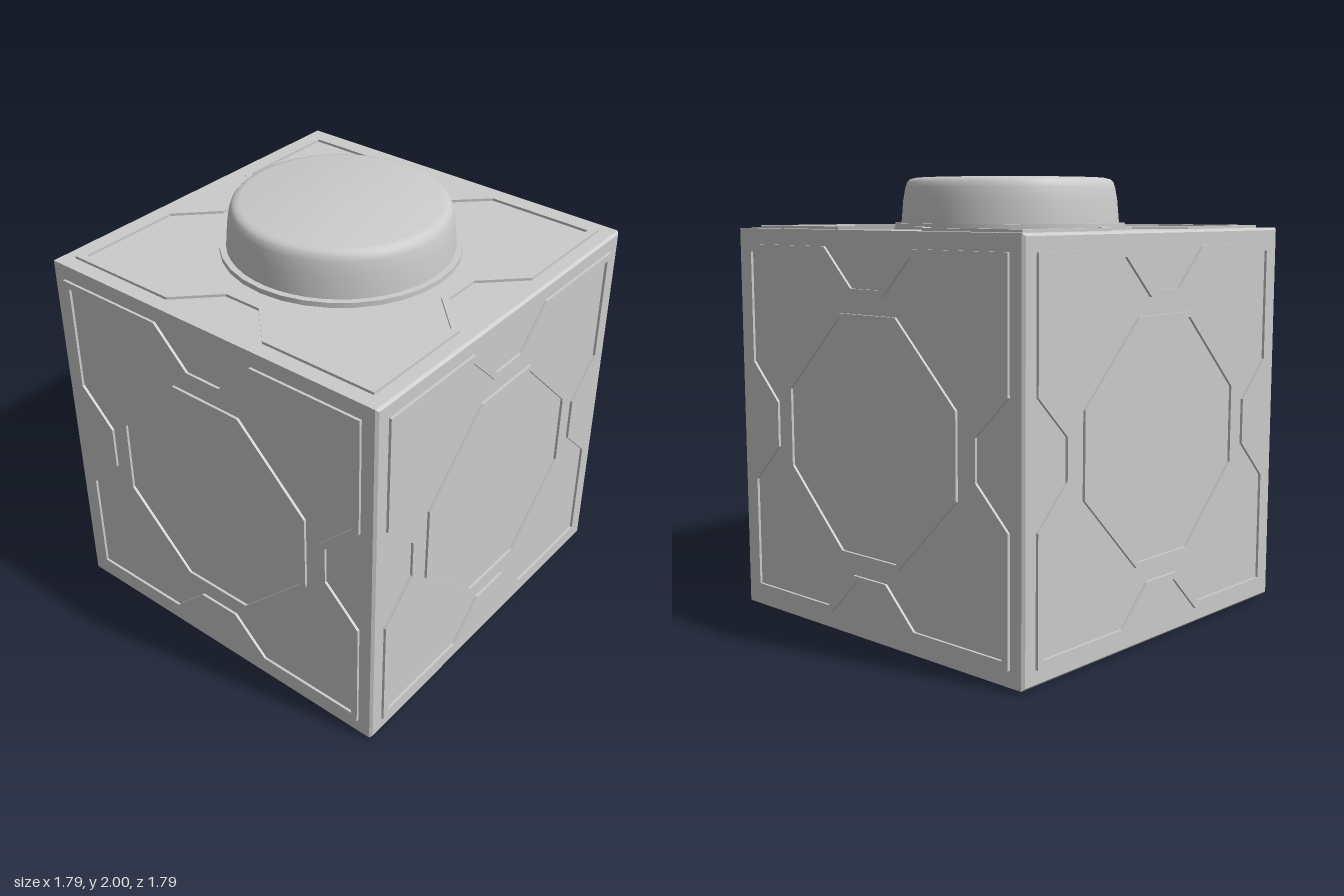
import * as THREE from 'three';
import { toCreasedNormals } from 'three/addons/utils/BufferGeometryUtils.js';

const HALF = 0.881;   // half size of the body
const CENTER = 0.893; // body centre height, also distance to the raised trim
const material = new THREE.MeshStandardMaterial({ color: 0xcccccc });

// Repeats a quarter outline four times around the origin
function fourFold(quarter) {
  const points = [];
  for (let i = 0; i < 4; i++) {
    for (const [x, y] of quarter) {
      points.push(new THREE.Vector2(x, y).rotateAround(new THREE.Vector2(), i * Math.PI / 2));
    }
  }
  return points;
}

// Flat raised band between two outlines
function band(outer, inner) {
  const shape = new THREE.Shape(fourFold(outer));
  shape.holes.push(new THREE.Path(fourFold(inner)));
  return new THREE.ExtrudeGeometry(shape, { depth: 0.023, bevelEnabled: false })
    .translate(0, 0, CENTER - 0.023);
}

function mesh(name, geometry) {
  const m = new THREE.Mesh(geometry, material);
  m.name = name;
  return m;
}

export function createModel() {
  const model = new THREE.Group();
  model.name = 'panelledCube';

  // Cube with narrow chamfers on every edge
  const bevel = 0.011;
  const s = HALF - bevel;
  const square = new THREE.Shape(fourFold([[s, s]]));
  const bodyGeometry = new THREE.ExtrudeGeometry(square, {
    depth: 2 * s, bevelThickness: bevel, bevelSize: bevel, bevelSegments: 1,
  }).translate(0, 0, -s);
  const body = mesh('body', bodyGeometry);
  body.position.y = CENTER;
  model.add(body);

  // Notched border trim, and octagonal trim for every side but the top
  const frameGeometry = band(
    [[0.637, -0.09], [0.637, 0.09], [0.81, 0.262], [0.81, 0.81], [0.262, 0.81], [0.09, 0.637]].slice(1, 5),
    [[0.607, 0.103], [0.777, 0.275], [0.777, 0.777], [0.275, 0.777]],
  );
  // the notch's second corner comes from the mirrored quarter
  frameGeometry.dispose();
  const border = band(
    [[0.637, 0.09], [0.81, 0.262], [0.81, 0.81], [0.262, 0.81], [0.09, 0.637]],
    [[0.607, 0.103], [0.777, 0.275], [0.777, 0.777], [0.275, 0.777], [0.103, 0.607]],
  );
  const octagon = band([[0.53, 0.183], [0.183, 0.53]], [[0.508, 0.174], [0.174, 0.508]]);

  const sides = [
    ['front', 0, 0], ['left', 0, Math.PI / 2], ['back', 0, Math.PI], ['right', 0, -Math.PI / 2],
    ['top', -Math.PI / 2, 0], ['bottom', Math.PI / 2, 0],
  ];
  for (const [name, rx, ry] of sides) {
    const panel = new THREE.Group();
    panel.name = name + 'Panel';
    panel.add(mesh('borderTrim', border));
    if (name !== 'top') panel.add(mesh('octagonTrim', octagon));
    panel.rotation.set(rx, ry, 0);
    panel.position.y = CENTER;
    model.add(panel);
  }

  // Thin round flange under the knob
  const flange = mesh('flange', new THREE.CylinderGeometry(0.53, 0.53, 0.03, 32));
  flange.position.y = 1.782;
  model.add(flange);

  // Slightly tapered knob with a rounded rim
  const profile = [
    [0.503, 1.77], [0.5, 1.81], [0.492, 1.9], [0.482, 1.955],
    [0.474, 1.98], [0.46, 1.994], [0.435, 2], [0, 2],
  ].map(([x, y]) => new THREE.Vector2(x, y));
  model.add(mesh('knob', toCreasedNormals(new THREE.LatheGeometry(profile, 48), 0.7)));

  return model;
}
